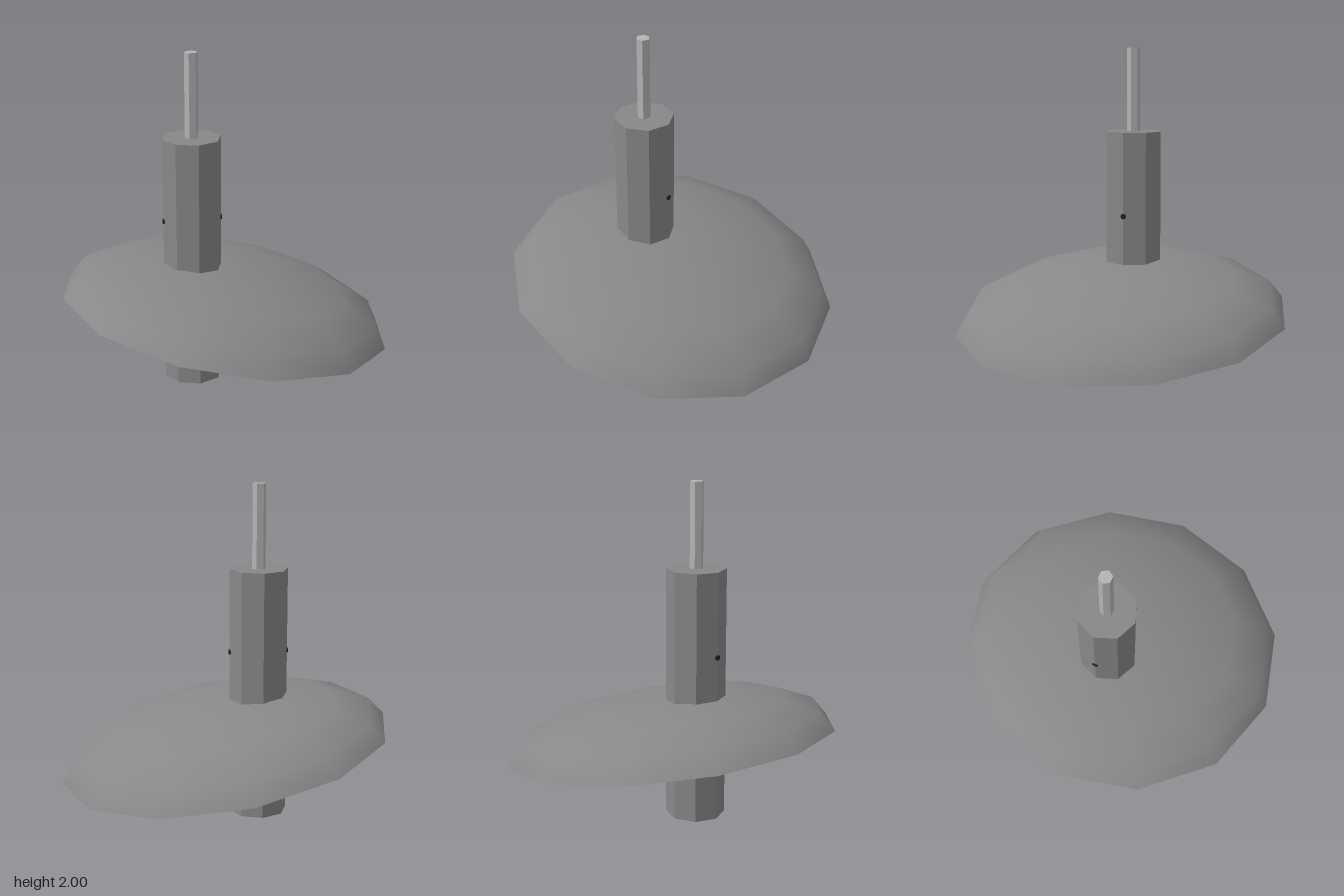
import * as THREE from 'three';
import { mergeVertices } from 'three/addons/utils/BufferGeometryUtils.js';

export function createModel() {
  const model = new THREE.Group();
  const grey = new THREE.MeshStandardMaterial({ color: 0x888888, flatShading: true });
  const smoothGrey = new THREE.MeshStandardMaterial({ color: 0x888888 });
  const lightGrey = new THREE.MeshStandardMaterial({ color: 0xb4b4b4, flatShading: true });
  const dark = new THREE.MeshStandardMaterial({ color: 0x222222, flatShading: true });
  const postX = -0.2;

  const add = (name, geometry, material, x, y, parent = model) => {
    const mesh = new THREE.Mesh(geometry, material);
    mesh.name = name;
    mesh.position.set(x, y, 0);
    parent.add(mesh);
    return mesh;
  };

  // Octagonal post with corners on the axes
  add('post', new THREE.CylinderGeometry(0.175, 0.175, 1.5, 8), grey, postX, 0.75);

  // Thin hexagonal rod on top, corners towards the sides
  const rod = new THREE.CylinderGeometry(0.04, 0.04, 0.5, 6).rotateY(Math.PI / 6);
  add('topRod', rod, lightGrey, postX, 1.75);

  // Tilted shallow dome, closed underneath; normals averaged from its faces
  const dome = new THREE.Group();
  dome.name = 'tiltedDome';
  dome.position.y = 0.4;
  dome.rotation.z = -THREE.MathUtils.degToRad(10);
  model.add(dome);
  const cap = new THREE.SphereGeometry(1, 12, 4, 0, Math.PI * 2, 0, Math.PI / 2).scale(1, 0.3, 1);
  cap.deleteAttribute('normal');
  cap.deleteAttribute('uv');
  const shell = mergeVertices(cap);
  shell.computeVertexNormals();
  add('domeShell', shell, smoothGrey, 0, 0, dome);
  add('domeUnderside', new THREE.CircleGeometry(1, 12).rotateX(Math.PI / 2), grey, 0, 0, dome);

  // Small dark pins: one through the post, one dipping out of the dome's underside
  const pin = (length) => new THREE.CylinderGeometry(0.017, 0.017, length, 8).rotateZ(Math.PI / 2);
  add('postPin', pin(0.356), dark, postX, 1);
  add('domePin', pin(0.1), dark, 0, 0.412).rotation.z = -THREE.MathUtils.degToRad(20);

  return model;
}
